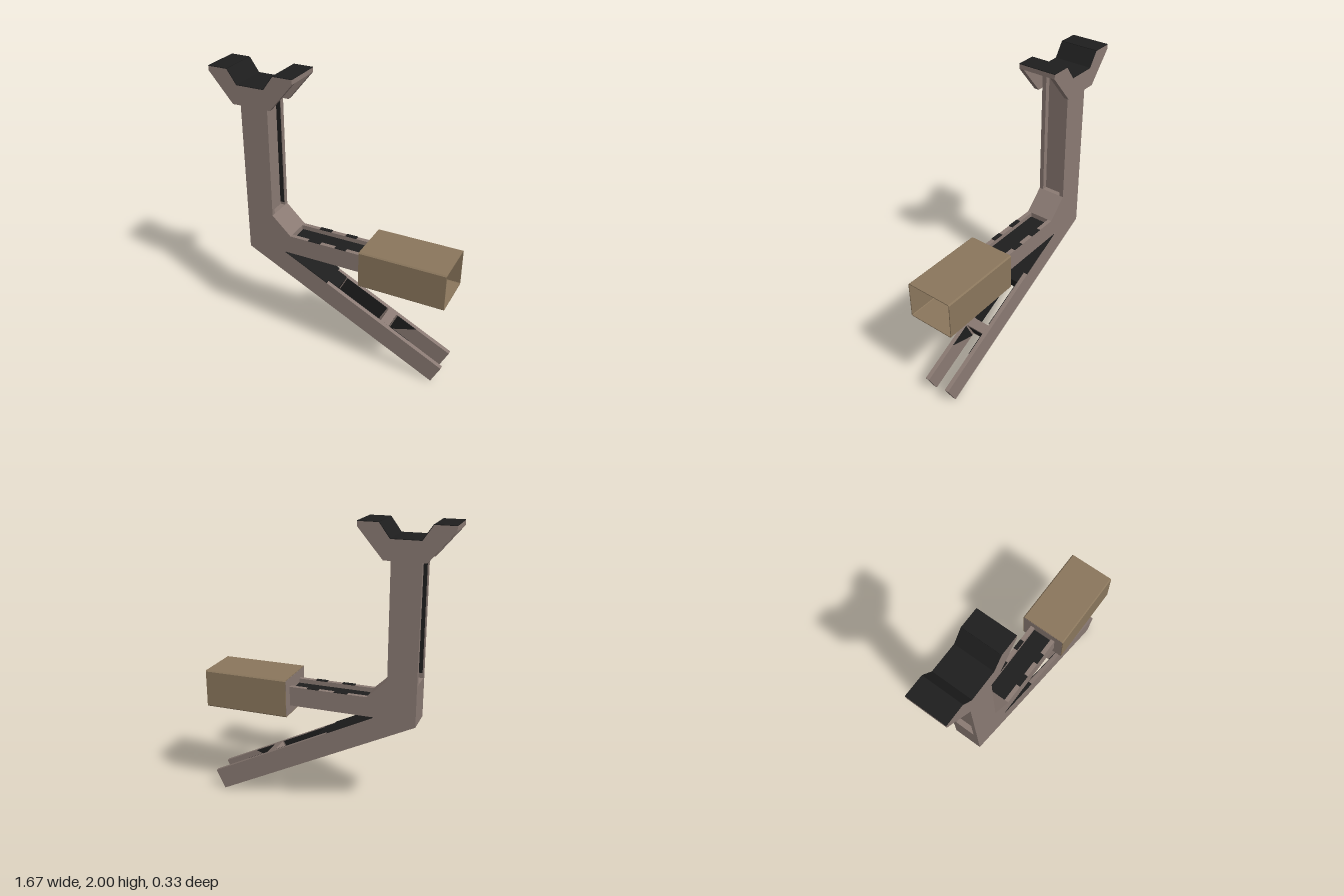
import * as THREE from 'three';

export function createModel() {
  const model = new THREE.Group();
  model.name = 'bracket';
  const mat = (name, color) => {
    const m = new THREE.MeshStandardMaterial({ color });
    m.name = name;
    return m;
  };
  const taupe = mat('taupe', 0x8a7a73);
  const tan = mat('tan', 0x8a765c);
  const black = mat('black', 0x1e1e1e);

  const toShape = (pts) => new THREE.Shape(pts.map(([x, y]) => new THREE.Vector2(x, y)));
  const add = (name, geo, material) => {
    const mesh = new THREE.Mesh(geo, material);
    mesh.name = name;
    model.add(mesh);
    return mesh;
  };
  // Side outline pulled across the depth from z0 to z1
  const slab = (name, pts, z0, z1, material) => {
    const geo = new THREE.ExtrudeGeometry(toShape(pts), { depth: z1 - z0, bevelEnabled: false });
    geo.translate(0, 0, z0);
    return add(name, geo, material);
  };
  // Thin painted plate on the left-hand side of the line a-b
  const paint = (name, a, b, z0, z1) => {
    const t = 0.004, len = Math.hypot(b[0] - a[0], b[1] - a[1]);
    const nx = -(b[1] - a[1]) / len * t, ny = (b[0] - a[0]) / len * t;
    slab(name, [a, b, [b[0] + nx, b[1] + ny], [a[0] + nx, a[1] + ny]], z0, z1, black);
  };

  // Points along the top and bottom edges of the sloping leg
  const legTop = (x) => [x, 0.735 - 0.504 * (x + 0.36)];
  const legLow = (x) => [x, 0.705 - 0.5 * (x + 0.635)];
  const inner = 0.07, outer = 0.1;

  // Two frame side plates: post, arm and leg in one outline
  const frame = [
    [-0.635, 0.705], [0.765, 0.003], [0.83, 0.135], [-0.36, 0.735], [0.235, 0.735],
    [0.235, 0.87], [-0.305, 0.87], [-0.44, 1.0], [-0.44, 1.87], [-0.635, 1.87],
  ];
  slab('frameSideLeft', frame, inner, outer, taupe);
  slab('frameSideRight', frame, -outer, -inner, taupe);

  // Core between the plates, recessed along the post and the arm
  slab('frameCore', [
    [-0.635, 0.705], legLow(-0.03), legTop(0.04), [-0.36, 0.735], [-0.32, 0.77],
    [0.235, 0.77], [0.235, 0.835], [-0.305, 0.835], [-0.305, 0.87], [-0.44, 1.0],
    [-0.475, 1.0], [-0.475, 1.87], [-0.598, 1.87], [-0.598, 0.985], [-0.635, 0.985],
  ], -inner, inner, taupe);

  // Crossbar between the leg prongs
  slab('legCrossbar', [legLow(0.3), legLow(0.365), legTop(0.43), legTop(0.37)], -inner, inner, taupe);
  slab('crossbarPatch', [[0.372, 0.225], [0.376, 0.225], [0.421, 0.315], [0.417, 0.315]], -0.06, 0.06, black);

  // Dark faces of the arm channel
  paint('armChannelTop', [0.235, 0.835], [-0.3, 0.835].map((v) => v), -inner, inner);
  paint('armTopFace', [-0.3, 0.835], [0.235, 0.835], -inner, inner);
  paint('armUnderFace', [0.235, 0.77], [-0.31, 0.77], -inner, inner);
  for (const [x0, x1] of [[-0.17, -0.08], [0.03, 0.11]]) {
    paint('armRimPatch', [x0, 0.87], [x1, 0.87], inner, outer);
    paint('armRimPatch', [x0, 0.87], [x1, 0.87], -outer, -inner);
  }

  // Dark faces of the leg
  paint('legTopFace', legTop(-0.35), legTop(-0.03), -outer, outer);
  paint('legTopFaceLower', legTop(-0.03), legTop(0.04), -inner, inner);
  paint('legWebEnd', legTop(0.04), legLow(-0.03), -inner, inner);
  paint('legUnderFace', legLow(-0.05), legLow(-0.45), -inner, inner);
  for (const s of [-1, 1]) {
    const z0 = s > 0 ? inner - 0.004 : -inner;
    slab('prongLining', [legLow(-0.02), legLow(0.29), legTop(0.36), legTop(0.05)], z0, z0 + 0.004, black);
    slab('prongLiningLower', [legLow(0.38), legTop(0.44), legTop(0.58)], z0, z0 + 0.004, black);
  }

  // Dark walls of the post grooves
  const groove = (x0, x1, z0) =>
    slab('postGrooveWall', [[x0, 1.02], [x1, 1.02], [x1, 1.77], [x0, 1.77]], z0, z0 + 0.003, black);
  groove(-0.475, -0.446, -inner);
  groove(-0.629, -0.598, inner - 0.003);

  // Cradle: two cheeks and a bent top skin, hollow underneath
  const topLine = [[-0.835, 2], [-0.7, 2], [-0.635, 1.905], [-0.44, 1.905], [-0.37, 2], [-0.235, 2]];
  const cheek = [...topLine, [-0.235, 1.97], [-0.4, 1.775], [-0.67, 1.775], [-0.835, 1.97]];
  slab('cradleCheekLeft', cheek, outer, 0.133, taupe);
  slab('cradleCheekRight', cheek, -0.133, -outer, taupe);
  slab('cradleSkin', [
    ...topLine, [-0.235, 1.97], [-0.352, 1.97], [-0.424, 1.87],
    [-0.651, 1.87], [-0.718, 1.97], [-0.835, 1.97],
  ], -outer, outer, taupe);
  for (let i = 0; i < 5; i++) paint('cradlePad', topLine[i], topLine[i + 1], -0.133, 0.133);

  // Open sleeve on the arm, with softened long edges
  const rect = (hy, hz, c) => [
    [-hz + c, -hy], [hz - c, -hy], [hz, -hy + c], [hz, hy - c],
    [hz - c, hy], [-hz + c, hy], [-hz, hy - c], [-hz, -hy + c],
  ];
  const ring = toShape(rect(0.1325, 0.166, 0.008));
  ring.holes.push(toShape(rect(0.1265, 0.16, 0.004)));
  const sleeve = new THREE.ExtrudeGeometry(ring, { depth: 0.595, bevelEnabled: false });
  sleeve.rotateY(Math.PI / 2);
  sleeve.translate(0.237, 0.8025, 0);
  add('sleeve', sleeve, tan);

  // Closed inner end of the sleeve and the dark arm end inside it
  const wall = new THREE.BoxGeometry(0.01, 0.255, 0.322);
  wall.translate(0.241, 0.8025, 0);
  add('sleeveEndWall', wall, taupe);
  const end = new THREE.ExtrudeGeometry(toShape([
    [-0.098, -0.05], [-0.04, -0.05], [0, -0.035], [0.04, -0.05], [0.098, -0.05],
    [0.098, 0.06], [0.05, 0.07], [0, 0.055], [-0.05, 0.07], [-0.098, 0.06],
  ]), { depth: 0.004, bevelEnabled: false });
  end.rotateY(Math.PI / 2);
  end.translate(0.246, 0.8, 0);
  add('armEndPatch', end, black);

  return model;
}
